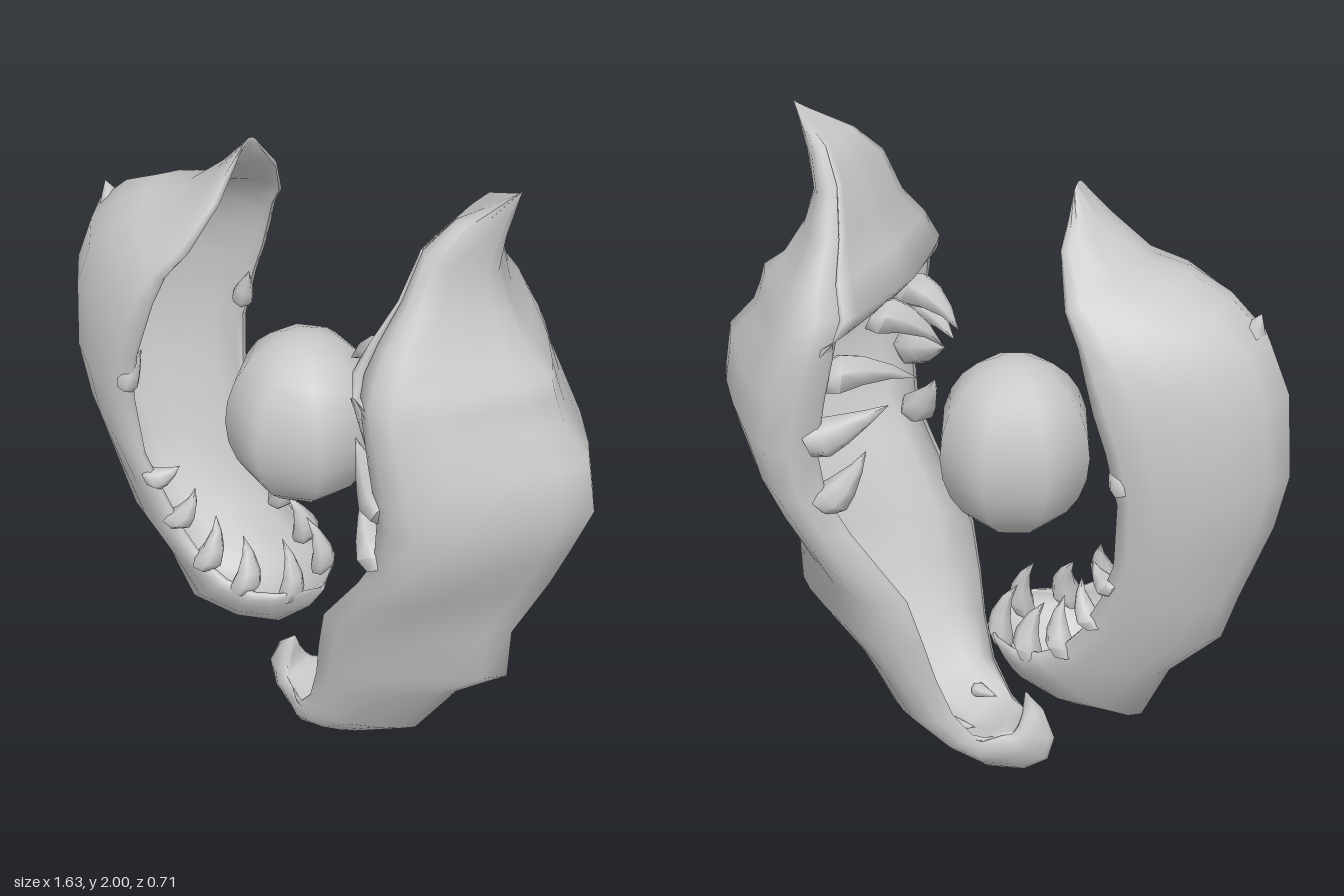
import * as THREE from 'three';
import { toCreasedNormals } from 'three/addons/utils/BufferGeometryUtils.js';

// Half cross-sections of the outer walls: [fraction from spine to rim, fraction of half width]
const UPPER_WALL = [[0, 0], [0.1, 0.21], [0.28, 0.5], [0.5, 0.8], [0.7, 0.98], [0.87, 0.98], [1, 0.87]];
const LOWER_WALL = [[0, 0], [0.09, 0.26], [0.27, 0.56], [0.5, 0.78], [0.72, 0.93], [0.9, 1], [1, 0.95]];

// Ring for one station [spineX, spineY, rimX, rimY, halfWidth, inner]
// inner is the fraction where the inside wall meets z = 0 (low = hollow, 1 = flat, above 1 = beaked)
function ring([sx, sy, rx, ry, w, inner], wall) {
  const inside = wall.map(([u, f]) => [inner + (1 - inner) * u, f * 0.94]).reverse();
  const half = [...wall, ...inside];
  const full = [...half, ...half.slice(1, -1).reverse().map(([u, f]) => [u, -f])];
  return full.map(([u, f]) => [sx + (rx - sx) * u, sy + (ry - sy) * u, f * w]);
}

// Joins rings of equal length into a closed skin
function loft(rings, crease) {
  const n = rings[0].length, pos = rings.flat(2), idx = [];
  const quad = (a, b, c, d) => idx.push(a, b, c, a, c, d);
  for (let i = 0; i < rings.length - 1; i++)
    for (let j = 0; j < n; j++) {
      const k = (j + 1) % n;
      quad(i * n + j, i * n + k, (i + 1) * n + k, (i + 1) * n + j);
    }
  const last = (rings.length - 1) * n;
  for (let j = 1; j < n - 1; j++) {
    idx.push(0, j + 1, j);
    idx.push(last, last + j, last + j + 1);
  }
  // Turn the skin outwards if its volume comes out negative
  const p = (i) => new THREE.Vector3().fromArray(pos, i * 3);
  let volume = 0;
  for (let i = 0; i < idx.length; i += 3) volume += p(idx[i]).dot(p(idx[i + 1]).cross(p(idx[i + 2])));
  if (volume < 0) idx.reverse();
  const g = new THREE.BufferGeometry();
  g.setAttribute('position', new THREE.Float32BufferAttribute(pos, 3));
  g.setIndex(idx);
  return toCreasedNormals(g, crease);
}

// Curved cone from base to tip, bowed sideways
function tooth(base, tip, radius, bow) {
  const a = new THREE.Vector3(...base), b = new THREE.Vector3(...tip);
  const dir = b.clone().sub(a).normalize();
  const side = new THREE.Vector3(-dir.y, dir.x, 0).normalize();
  const up = new THREE.Vector3().crossVectors(dir, side);
  const rings = [-0.12, 0.08, 0.35, 0.7, 1].map((t) => {
    const r = radius * (t < 0 ? 0.7 : Math.max(0.02, 1 - t ** 1.2));
    const c = a.clone().lerp(b, t).addScaledVector(side, bow * 4 * t * (1 - t));
    return Array.from({ length: 6 }, (_, i) => {
      const q = (i / 6) * Math.PI * 2;
      return c.clone().addScaledVector(side, Math.cos(q) * r).addScaledVector(up, Math.sin(q) * r).toArray();
    });
  });
  return loft(rings, 1.2);
}

export function createModel() {
  const root = new THREE.Group();
  const clay = new THREE.MeshStandardMaterial({ color: 0xc8c8c8 });
  clay.name = 'light grey';
  clay.side = THREE.DoubleSide;
  const add = (name, geometry) => {
    const m = new THREE.Mesh(geometry, clay);
    m.name = name;
    root.add(m);
    return m;
  };

  // Large jaw: crest and beaked hood, hollow shell, then the hooked tip
  const upper = [
    [0.555, 2.0, 0.545, 1.99, 0.004, 1],
    [0.52, 1.87, 0.425, 1.92, 0.085, 1.05],
    [0.505, 1.77, 0.37, 1.845, 0.145, 1.08],
    [0.54, 1.67, 0.345, 1.72, 0.2, 1.1],
    [0.605, 1.57, 0.325, 1.63, 0.28, 1.18],
    [0.67, 1.52, 0.305, 1.55, 0.315, 1.22],
    [0.685, 1.47, 0.31, 1.5, 0.34, 1.1],
    [0.71, 1.41, 0.32, 1.44, 0.35, 0.35],
    [0.79, 1.32, 0.345, 1.32, 0.36, 0.12],
    [0.815, 1.18, 0.375, 1.16, 0.36, 0.1],
    [0.76, 1.03, 0.36, 1.01, 0.345, 0.1],
    [0.71, 0.9, 0.3, 0.9, 0.325, 0.1],
    [0.61, 0.68, 0.16, 0.69, 0.27, 0.12],
    [0.605, 0.52, 0.125, 0.54, 0.24, 0.16],
    [0.45, 0.38, 0.1, 0.41, 0.21, 0.2],
    [0.32, 0.17, 0.06, 0.28, 0.18, 0.35],
    [0.15, 0.065, 0.01, 0.21, 0.155, 0.6],
    [0, 0.005, -0.02, 0.19, 0.125, 0.9],
    [-0.1, 0.025, -0.06, 0.19, 0.085, 1.05],
    [-0.175, 0.085, -0.09, 0.195, 0.065, 1.05],
    [-0.195, 0.17, -0.1, 0.215, 0.05, 1.05],
    [-0.16, 0.26, -0.105, 0.25, 0.03, 1.05],
    [-0.105, 0.31, -0.102, 0.305, 0.003, 1],
  ];
  add('upperJaw', loft(upper.map((s) => ring(s, UPPER_WALL)), 1.9));

  // Smaller jaw: pointed rear plate, hollow shell, rounded chin
  const lower = [
    [-0.23, 1.905, -0.23, 1.88, 0.035, 0.6],
    [-0.31, 1.82, -0.235, 1.77, 0.135, 0.3],
    [-0.42, 1.73, -0.28, 1.65, 0.22, 0.2],
    [-0.53, 1.71, -0.33, 1.58, 0.26, 0.15],
    [-0.64, 1.66, -0.36, 1.5, 0.282, 0.12],
    [-0.74, 1.57, -0.385, 1.42, 0.29, 0.1],
    [-0.8, 1.43, -0.42, 1.32, 0.29, 0.1],
    [-0.82, 1.2, -0.45, 1.17, 0.275, 0.1],
    [-0.79, 1.04, -0.44, 0.98, 0.255, 0.1],
    [-0.71, 0.8, -0.4, 0.85, 0.23, 0.1],
    [-0.67, 0.66, -0.34, 0.72, 0.215, 0.12],
    [-0.53, 0.51, -0.28, 0.64, 0.205, 0.16],
    [-0.455, 0.335, -0.21, 0.595, 0.195, 0.22],
    [-0.28, 0.325, -0.13, 0.575, 0.175, 0.3],
    [-0.14, 0.36, -0.07, 0.575, 0.14, 0.4],
    [-0.05, 0.45, -0.02, 0.575, 0.085, 0.6],
    [0, 0.535, -0.003, 0.55, 0.01, 1],
  ];
  add('lowerJaw', loft(lower.map((s) => ring(s, LOWER_WALL)), 1.9));

  // Teeth in mirrored pairs: [baseX, baseY, baseZ, tipX, tipY, tipZ, radius, bow]
  const upperTeeth = [
    [0.28, 1.48, 0.09, 0.12, 1.405, 0.05, 0.06, -0.025],
    [0.35, 1.36, 0.24, 0.165, 1.335, 0.12, 0.06, -0.02],
    [0.38, 1.19, 0.295, 0.22, 1.27, 0.18, 0.06, 0.005],
    [0.36, 1.0, 0.28, 0.27, 1.14, 0.22, 0.055, 0.01],
    [0.09, 0.2, 0.09, 0.02, 0.2, 0.08, 0.025, 0],
  ];
  const lowerTeeth = [
    [-0.06, 0.55, 0.08, -0.1, 0.715, 0.06, 0.042, -0.02],
    [-0.17, 0.57, 0.15, -0.2, 0.715, 0.11, 0.048, -0.02],
    [-0.28, 0.63, 0.18, -0.27, 0.775, 0.14, 0.046, -0.015],
    [-0.37, 0.75, 0.195, -0.325, 0.86, 0.16, 0.042, -0.015],
    [-0.43, 0.89, 0.22, -0.36, 0.935, 0.18, 0.04, -0.01],
    [-0.46, 1.22, 0.26, -0.42, 1.33, 0.24, 0.035, 0],
  ];
  for (const [name, list] of [['upperTooth', upperTeeth], ['lowerTooth', lowerTeeth]])
    for (const [bx, by, bz, tx, ty, tz, r, bow] of list)
      for (const s of [1, -1]) add(name, tooth([bx, by, bz * s], [tx, ty, tz * s], r, bow));

  // Small spur on the back of the lower jaw
  add('spur', tooth([-0.69, 1.56, 0], [-0.715, 1.635, 0], 0.045, 0));

  // Floating egg-shaped ball between the jaws
  const ball = add('ball', new THREE.SphereGeometry(1, 8, 12));
  ball.scale.set(0.215, 0.255, 0.215);
  ball.position.set(-0.065, 1.125, 0);

  return root;
}
